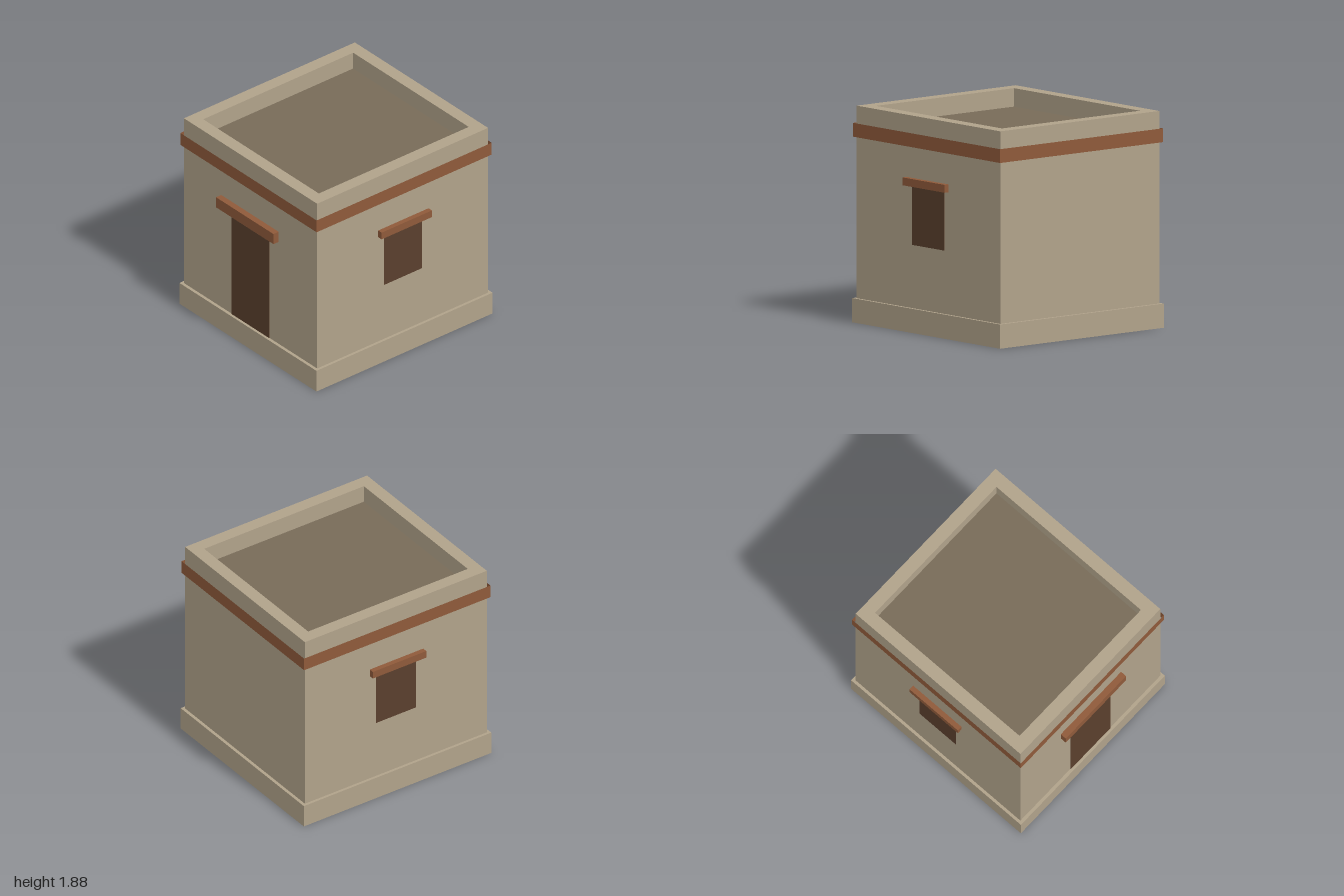
import * as THREE from 'three';

const mat = (name, color) =>
  new THREE.MeshStandardMaterial({ name, color, side: THREE.DoubleSide });

const CZ = -0.0175; // the building sits slightly behind centre, the door lintel sticks out in front

export function createModel() {
  const adobe = mat('adobe', 0xb0a28a);
  const roofClay = mat('roofClay', 0x776b58);
  const timber = mat('timber', 0x8f5a3a);
  const darkWood = mat('darkWood', 0x5a3f2d);

  const model = new THREE.Group();
  model.name = 'adobeHouse';

  const add = (name, geometry, material, x, y, z) => {
    const mesh = new THREE.Mesh(geometry, material);
    mesh.name = name;
    mesh.position.set(x, y, z);
    model.add(mesh);
    return mesh;
  };

  // Box standing on y0 that keeps only the listed faces (0 +x, 1 -x, 2 +y, 3 -y, 4 +z, 5 -z)
  const SIDES = [0, 1, 4, 5];
  const openBox = (name, material, hx, hz, y0, y1, faces) => {
    const g = new THREE.BoxGeometry(hx * 2, y1 - y0, hz * 2);
    const index = Array.from(g.index.array);
    g.setIndex(faces.flatMap((f) => index.slice(f * 6, f * 6 + 6)));
    g.clearGroups();
    return add(name, g, material, 0, (y0 + y1) / 2, CZ);
  };

  // Plinth open underneath, walls and timber band
  openBox('plinth', adobe, 0.919, 0.982, 0, 0.21, [...SIDES, 2]);
  openBox('walls', adobe, 0.893, 0.953, 0.21, 1.88, SIDES);
  openBox('timberBand', timber, 0.914, 0.976, 1.61, 1.73, SIDES);

  // Parapet: inner faces, flat rim and sunken roof
  const px = 0.775, pz = 0.836;
  openBox('parapetInside', adobe, px, pz, 1.72, 1.88, SIDES);
  const rect = (shape, hx, hz) =>
    shape.moveTo(-hx, -hz).lineTo(hx, -hz).lineTo(hx, hz).lineTo(-hx, hz).closePath();
  const rim = rect(new THREE.Shape(), 0.893, 0.953);
  rim.holes.push(rect(new THREE.Path(), px, pz));
  add('parapetRim', new THREE.ShapeGeometry(rim).rotateX(-Math.PI / 2), adobe, 0, 1.88, CZ);
  add('roof', new THREE.PlaneGeometry(px * 2, pz * 2).rotateX(-Math.PI / 2), roofClay, 0, 1.72, CZ);

  // Door and its lintel
  add('door', new THREE.BoxGeometry(0.506, 1.08, 0.006), darkWood, 0, 0.65, 0.937);
  add('doorLintel', new THREE.BoxGeometry(0.77, 0.102, 0.058), timber, 0, 1.301, 0.971);

  // A window with lintel on each side
  for (const [side, s] of [['left', 1], ['right', -1]]) {
    add(side + 'Window', new THREE.BoxGeometry(0.006, 0.505, 0.42), darkWood, s * 0.895, 1.012, CZ);
    add(side + 'WindowLintel', new THREE.BoxGeometry(0.046, 0.068, 0.56), timber, s * 0.926, 1.308, CZ);
  }
  return model;
}
